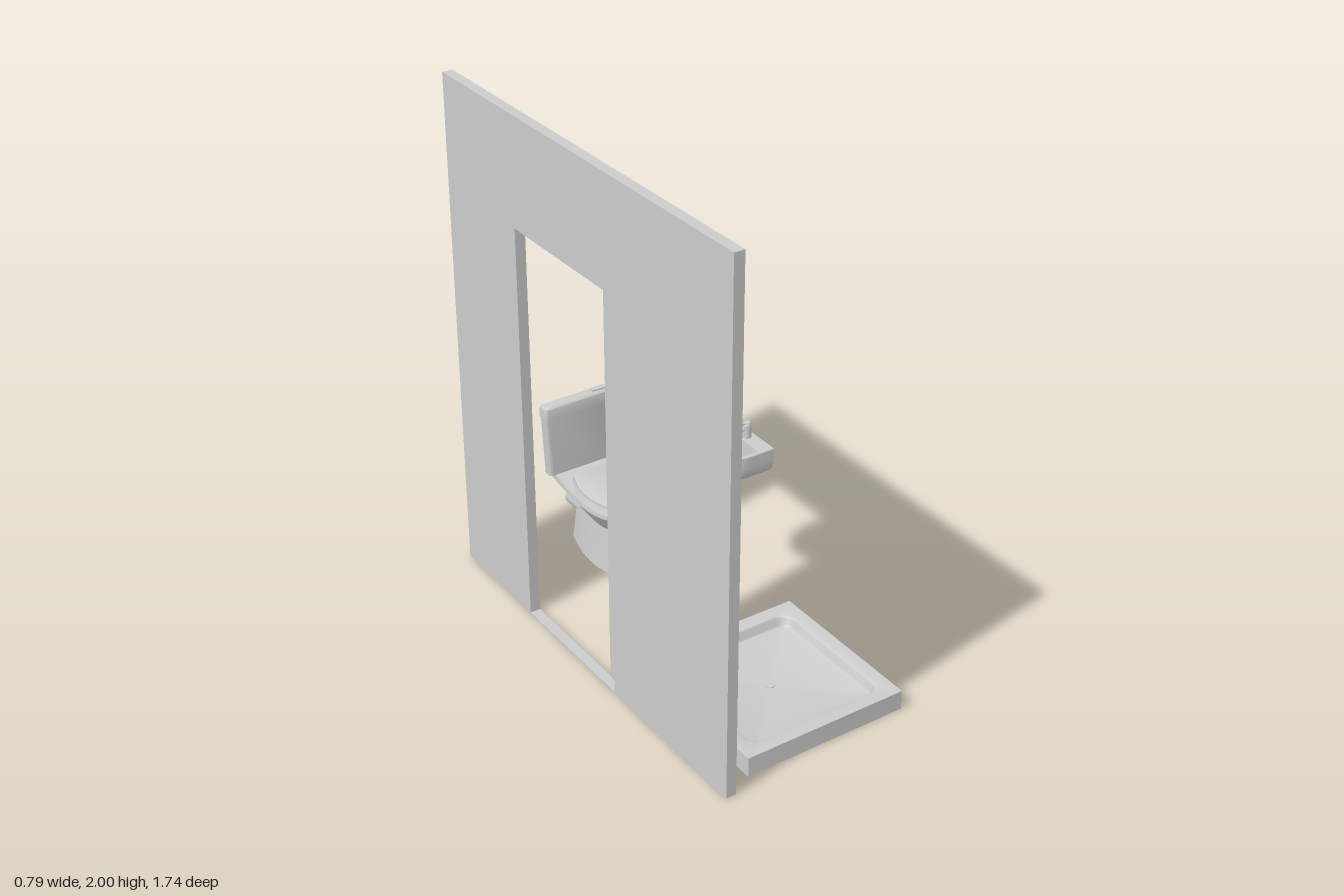
import * as THREE from 'three';
import { toCreasedNormals } from 'three/addons/utils/BufferGeometryUtils.js';

const V = (x, y, z) => new THREE.Vector3(x, y, z);
const grey = new THREE.MeshStandardMaterial({ color: 0xcccccc });

function add(parent, name, geometry, x = 0, y = 0, z = 0) {
  const mesh = new THREE.Mesh(geometry, grey);
  mesh.name = name;
  mesh.position.set(x, y, z);
  parent.add(mesh);
  return mesh;
}

// Box given by its extents on each axis
function box(parent, name, [x0, x1], [y0, y1], [z0, z1]) {
  return add(parent, name, new THREE.BoxGeometry(x1 - x0, y1 - y0, z1 - z0),
    (x0 + x1) / 2, (y0 + y1) / 2, (z0 + z1) / 2);
}

// Skin a stack of rings (each running from +x towards +z) and cap both ends
function loft(rings, crease = 0.6) {
  const pos = [];
  const tri = (...pts) => pts.forEach((p) => pos.push(p.x, p.y, p.z));
  const n = rings[0].length;
  const centre = (ring) => ring.reduce((s, p) => s.add(p), V(0, 0, 0)).divideScalar(n);
  const first = rings[0], last = rings[rings.length - 1];
  const c0 = centre(first), c1 = centre(last);
  for (let i = 0; i < n; i++) {
    const j = (i + 1) % n;
    for (let k = 0; k + 1 < rings.length; k++) {
      const a = rings[k], b = rings[k + 1];
      tri(a[i], b[i], b[j]);
      tri(a[i], b[j], a[j]);
    }
    tri(c0, first[i], first[j]);
    tri(c1, last[j], last[i]);
  }
  const geometry = new THREE.BufferGeometry();
  geometry.setAttribute('position', new THREE.Float32BufferAttribute(pos, 3));
  return toCreasedNormals(geometry, crease);
}

// Rounded rectangle ring
function rectRing(hx, hz, r, y) {
  const pts = [];
  [[1, 1], [-1, 1], [-1, -1], [1, -1]].forEach(([sx, sz], q) => {
    for (let i = 0; i <= 8; i++) {
      const a = (q + i / 8) * Math.PI / 2;
      pts.push(V(sx * (hx - r) + r * Math.cos(a), y, sz * (hz - r) + r * Math.sin(a)));
    }
  });
  return pts;
}

// Egg ring: elliptical nose, sides easing to a flat back
function eggRing(y, w, zFront, zMid, zBack, wBack) {
  const pts = [];
  for (let i = 0; i <= 24; i++) {
    const a = i / 24 * Math.PI;
    pts.push(V(w * Math.cos(a), y, zMid + (zFront - zMid) * Math.sin(a)));
  }
  const side = [];
  for (let i = 1; i <= 10; i++) {
    const t = i / 10;
    side.push(V(wBack + (w - wBack) * Math.cos(t * Math.PI / 2), y, zMid + (zBack - zMid) * t));
  }
  side.forEach((p) => pts.push(V(-p.x, y, p.z)));
  side.reverse().forEach((p) => pts.push(p));
  return pts;
}

// D-shaped ring: flat towards +x, half ellipse towards -x
function dRing(y, hw, xFront, xBack, xMid = 0.29) {
  const pts = [V(xBack, y, hw)];
  for (let i = 0; i <= 28; i++) {
    const a = Math.PI / 2 + i / 28 * Math.PI;
    pts.push(V(xMid + (xMid - xFront) * Math.cos(a), y, hw * Math.sin(a)));
  }
  pts.push(V(xBack, y, -hw));
  return pts;
}

function createWall() {
  const g = new THREE.Group();
  g.name = 'wallWithDoor';
  const x = [-0.4, -0.36];
  const back = -0.405, front = 0.18, top = 1.585;
  // Wall panel with doorway
  const shape = new THREE.Shape([[-0.87, 0], [back, 0], [back, top], [front, top],
    [front, 0], [0.87, 0], [0.87, 2], [-0.87, 2]].map(([z, y]) => new THREE.Vector2(-z, y)));
  const wall = add(g, 'wall', new THREE.ExtrudeGeometry(shape, { depth: 0.04, bevelEnabled: false }), -0.4);
  wall.rotation.y = Math.PI / 2;
  box(g, 'threshold', x, [0, 0.003], [back, front]);
  box(g, 'slidingDoor', [-0.355, -0.328], [0, top], [0.083, 0.647]);
  return g;
}

function createShowerTray() {
  const g = new THREE.Group();
  g.name = 'showerTray';
  g.position.set(0.055, 0, 0.49);
  const ring = (h, r, y) => rectRing(h, h, r, y);
  add(g, 'tray', loft([
    ring(0.33, 0.001, 0), ring(0.33, 0.001, 0.077), ring(0.28, 0.05, 0.077),
    ring(0.275, 0.048, 0.075), ring(0.271, 0.046, 0.069), ring(0.266, 0.042, 0.048),
    ring(0.261, 0.038, 0.04), ring(0.25, 0.03, 0.036)]));
  add(g, 'drain', new THREE.CylinderGeometry(0.02, 0.02, 0.004, 24), 0, 0.037, 0);
  return g;
}

function createToilet() {
  const g = new THREE.Group();
  g.name = 'toilet';
  g.position.x = 0.053;
  add(g, 'pedestal', loft([
    eggRing(0, 0.083, -0.39, -0.56, -0.765, 0.045),
    eggRing(0.06, 0.074, -0.4, -0.56, -0.76, 0.04),
    eggRing(0.18, 0.06, -0.43, -0.56, -0.745, 0.035)]));
  add(g, 'bowl', loft([
    eggRing(0.178, 0.06, -0.445, -0.56, -0.74, 0.035),
    eggRing(0.205, 0.08, -0.415, -0.555, -0.748, 0.055),
    eggRing(0.278, 0.128, -0.35, -0.54, -0.77, 0.1)]));
  add(g, 'rim', loft([
    eggRing(0.278, 0.13, -0.346, -0.54, -0.825, 0.105),
    eggRing(0.298, 0.13, -0.346, -0.54, -0.825, 0.105),
    eggRing(0.305, 0.126, -0.35, -0.54, -0.825, 0.105)]));
  add(g, 'seat', loft([
    eggRing(0.305, 0.128, -0.35, -0.54, -0.695, 0.08),
    eggRing(0.32, 0.122, -0.355, -0.54, -0.695, 0.08)]));
  add(g, 'seatLid', loft([
    eggRing(0.32, 0.118, -0.36, -0.54, -0.697, 0.078),
    eggRing(0.332, 0.117, -0.362, -0.54, -0.697, 0.078),
    eggRing(0.334, 0.112, -0.367, -0.54, -0.692, 0.074)]));
  // Cistern and its bevelled lid
  add(g, 'cistern', loft([
    rectRing(0.135, 0.025, 0.015, 0.303), rectRing(0.147, 0.026, 0.015, 0.557)]), 0, 0, -0.796);
  add(g, 'cisternLid', loft([
    rectRing(0.15, 0.03, 0.015, 0.557), rectRing(0.15, 0.03, 0.015, 0.586),
    rectRing(0.147, 0.026, 0.013, 0.602), rectRing(0.14, 0.02, 0.01, 0.607)]), 0, 0, -0.797);
  box(g, 'flushButton', [0.075, 0.14], [0.6, 0.612], [-0.815, -0.79]);
  // Waste outlet at the back
  add(g, 'outletPipe', new THREE.CylinderGeometry(0.042, 0.042, 0.165, 28), 0, 0.153, -0.7425)
    .rotation.x = Math.PI / 2;
  return g;
}

function createBasin() {
  const g = new THREE.Group();
  g.name = 'washBasin';
  g.position.z = -0.0925;
  // Outer shell, rim, then down into the hollow
  add(g, 'basin', loft([
    dRing(0.56, 0.078, 0.222, 0.393), dRing(0.565, 0.095, 0.205, 0.393),
    dRing(0.578, 0.11, 0.19, 0.393), dRing(0.6, 0.12, 0.178, 0.393),
    dRing(0.622, 0.123, 0.174, 0.393), dRing(0.668, 0.123, 0.174, 0.393),
    dRing(0.671, 0.12, 0.177, 0.393), dRing(0.671, 0.109, 0.195, 0.332),
    dRing(0.645, 0.103, 0.2, 0.33), dRing(0.615, 0.085, 0.215, 0.328),
    dRing(0.592, 0.055, 0.24, 0.322), dRing(0.585, 0.025, 0.265, 0.31)]));
  add(g, 'basinDrain', new THREE.CylinderGeometry(0.012, 0.012, 0.004, 20), 0.29, 0.586, 0);
  // Mixer tap
  const tap = new THREE.Group();
  tap.name = 'tap';
  g.add(tap);
  add(tap, 'tapBody', new THREE.CylinderGeometry(0.015, 0.017, 0.054, 20), 0.36, 0.697, 0);
  add(tap, 'tapCap', new THREE.CylinderGeometry(0.012, 0.016, 0.01, 20), 0.36, 0.728, 0);
  const spout = new THREE.CatmullRomCurve3([V(0.35, 0.706, 0), V(0.3, 0.706, 0),
    V(0.284, 0.704, 0), V(0.281, 0.692, 0)]);
  add(tap, 'spout', new THREE.TubeGeometry(spout, 16, 0.007, 12));
  add(tap, 'spoutTip', new THREE.CylinderGeometry(0.007, 0.007, 0.004, 12), 0.281, 0.692, 0);
  const lever = add(tap, 'lever', new THREE.BoxGeometry(0.046, 0.005, 0.012), 0.342, 0.731, 0);
  lever.rotation.z = -0.12;
  return g;
}

export function createModel() {
  const model = new THREE.Group();
  model.name = 'bathroomSet';
  model.add(createWall(), createShowerTray(), createToilet(), createBasin());
  return model;
}
